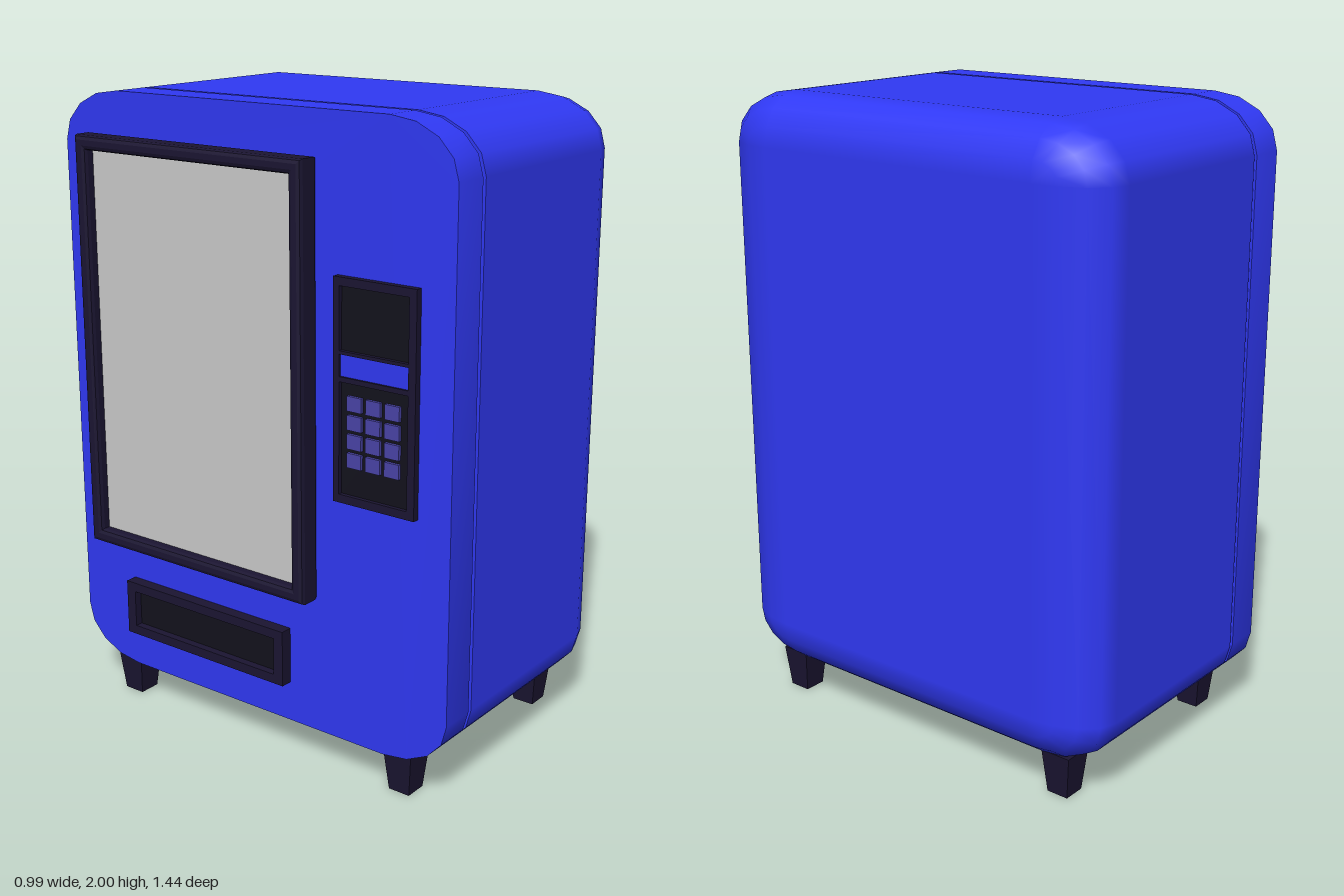
import * as THREE from 'three';
import { toCreasedNormals } from 'three/addons/utils/BufferGeometryUtils.js';

const mat = (color, side = THREE.FrontSide) => new THREE.MeshStandardMaterial({ color, side });
const blue = mat(0x3039f5), dark = mat(0x1b1532), black = mat(0x13121c), grey = mat(0xcccccc);
const red = mat(0xc01818), keyBlue = mat(0x4a44a8);

// Cabinet size: half width, half height, centre height, corner radii
const HW = 0.72, HH = 0.94, CY = 1.06, RW = 0.22, RH = 0.16, RD = 0.14, SEG = 4;

// Points round a rectangle with elliptical corners, each with its corner angle
function roundedLoop(s = 1) {
  const pts = [];
  [[1, 1], [-1, 1], [-1, -1], [1, -1]].forEach(([sx, sy], q) => {
    for (let i = 0; i <= SEG; i++) {
      const a = (q + i / SEG) * Math.PI / 2;
      pts.push({
        x: sx * (HW - RW) + RW * s * Math.cos(a),
        y: CY + sy * (HH - RH) + RH * s * Math.sin(a), a,
      });
    }
  });
  return pts;
}

const rect = (x0, x1, y0, y1, Type = THREE.Shape) => new Type([
  new THREE.Vector2(x0, y0), new THREE.Vector2(x1, y0),
  new THREE.Vector2(x1, y1), new THREE.Vector2(x0, y1)]);
const loopShape = () => new THREE.Shape(roundedLoop().map(p => new THREE.Vector2(p.x, p.y)));

// Shell of the cabinet: straight sides, then rings that round over to the back
function shellGeometry() {
  const rings = [[0.285, 0]];
  for (let j = 0; j <= SEG; j++) {
    const a = j / SEG * Math.PI / 2;
    rings.push([-0.35 - RD * Math.sin(a), a]);
  }
  const pos = [], nor = [], idx = [], n = 4 * (SEG + 1);
  rings.forEach(([z, a], j) => {
    const c = Math.cos(a);
    roundedLoop(c).forEach((p, i) => {
      pos.push(p.x, p.y, z);
      const v = new THREE.Vector3(Math.cos(p.a) * c / RW, Math.sin(p.a) * c / RH, -Math.sin(a) / RD).normalize();
      nor.push(v.x, v.y, v.z);
      if (j < rings.length - 1) {
        const k = j * n + i, l = j * n + (i + 1) % n;
        idx.push(k, k + n, l, l, k + n, l + n);
      }
    });
  });
  const e = (rings.length - 1) * n, s = SEG + 1;
  idx.push(e, e + 2 * s, e + s, e, e + 3 * s, e + 2 * s);
  const g = new THREE.BufferGeometry();
  g.setAttribute('position', new THREE.Float32BufferAttribute(pos, 3));
  g.setAttribute('normal', new THREE.Float32BufferAttribute(nor, 3));
  g.setIndex(idx);
  return g;
}

export function createModel() {
  const model = new THREE.Group();
  model.name = 'vendingMachine';
  // Built facing local +z, then turned so its window side faces -x
  const machine = new THREE.Group();
  machine.name = 'machine';
  machine.rotation.y = -Math.PI / 2;
  model.add(machine);

  const add = (name, geo, material) => {
    const m = new THREE.Mesh(geo, material);
    m.name = name;
    machine.add(m);
    return m;
  };
  const box = (name, x0, x1, y0, y1, z0, z1, material) =>
    add(name, new THREE.BoxGeometry(x1 - x0, y1 - y0, z1 - z0), material)
      .position.set((x0 + x1) / 2, (y0 + y1) / 2, (z0 + z1) / 2);
  // Flat plate with rectangular holes and an optional bevel b
  const plate = (name, [x0, x1, y0, y1], z0, z1, holes, b, material) => {
    const shape = rect(x0 + b, x1 - b, y0 + b, y1 - b);
    holes.forEach(([p, q, r, s]) => shape.holes.push(rect(p - b, q + b, r - b, s + b, THREE.Path)));
    const g = new THREE.ExtrudeGeometry(shape, {
      depth: z1 - z0 - 2 * b, bevelEnabled: b > 0, bevelSize: b, bevelThickness: b, bevelSegments: 2,
    });
    g.translate(0, 0, z0 + b);
    add(name, g, material);
  };

  // Cabinet with an open compartment
  add('cabinetShell', shellGeometry(), blue);
  const rim = loopShape();
  rim.holes.push(rect(-0.57, 0.23, 0.58, 1.8, THREE.Path));
  add('cabinetRim', new THREE.ShapeGeometry(rim), blue).position.z = 0.285;
  box('compartment', -0.57, 0.23, 0.58, 1.8, -0.3, 0.285, mat(0x1b1532, THREE.BackSide));

  // Shelves and goods
  const goods = [dark, red, grey, grey];
  for (let r = 0; r < 4; r++) {
    const y = 0.58 + r * 0.3;
    box('shelf', -0.58, 0.24, y - 0.015, y + 0.015, -0.28, 0.297, dark);
    for (let c = 0; c < 5; c++) {
      const can = add('goods', new THREE.CylinderGeometry(0.05, 0.05, 0.18, 12), goods[r]);
      can.position.set(-0.47 + c * 0.15, y + 0.105, 0.24);
    }
  }

  // Door
  const door = loopShape();
  door.holes.push(rect(-0.56, 0.21, 0.61, 1.82, THREE.Path));
  const doorGeo = new THREE.ExtrudeGeometry(door, { depth: 0.117, bevelEnabled: false });
  add('door', toCreasedNormals(doorGeo, 0.7), blue).position.z = 0.299;

  // Window
  plate('windowFrame', [-0.61, 0.26, 0.56, 1.87], 0.418, 0.495, [[-0.565, 0.215, 0.605, 1.825]], 0.014, dark);
  box('windowPane', -0.58, 0.23, 0.59, 1.84, 0.445, 0.46, grey);

  // Control panel: display above, keypad below
  plate('controlFrame', [0.33, 0.61, 0.89, 1.55], 0.415, 0.437,
    [[0.35, 0.585, 1.34, 1.525], [0.35, 0.585, 1.265, 1.33], [0.35, 0.585, 0.915, 1.25]], 0, dark);
  box('display', 0.34, 0.6, 1.33, 1.54, 0.415, 0.424, black);
  box('controlBand', 0.35, 0.585, 1.265, 1.33, 0.415, 0.43, blue);
  box('keypad', 0.34, 0.6, 0.9, 1.255, 0.415, 0.424, black);
  for (let r = 0; r < 4; r++) {
    for (let c = 0; c < 3; c++) {
      const x = 0.375 + c * 0.065, y = 1.0 + r * 0.056;
      box('key', x, x + 0.05, y, y + 0.044, 0.42, 0.434, keyBlue);
    }
  }

  // Delivery slot
  plate('slotFrame', [-0.5, 0.15, 0.25, 0.43], 0.415, 0.455, [[-0.465, 0.115, 0.28, 0.4]], 0, dark);
  box('slotFlap', -0.47, 0.12, 0.275, 0.405, 0.415, 0.43, black);

  // Tapered feet
  for (const sx of [-1, 1]) {
    for (const sz of [-1, 1]) {
      const g = new THREE.CylinderGeometry(0.05 * Math.SQRT2, 0.036 * Math.SQRT2, 0.14, 4, 1).toNonIndexed();
      g.rotateY(Math.PI / 4);
      g.computeVertexNormals();
      add('foot', g, dark).position.set(sx * 0.545, 0.07, sz * 0.36);
    }
  }
  return model;
}
